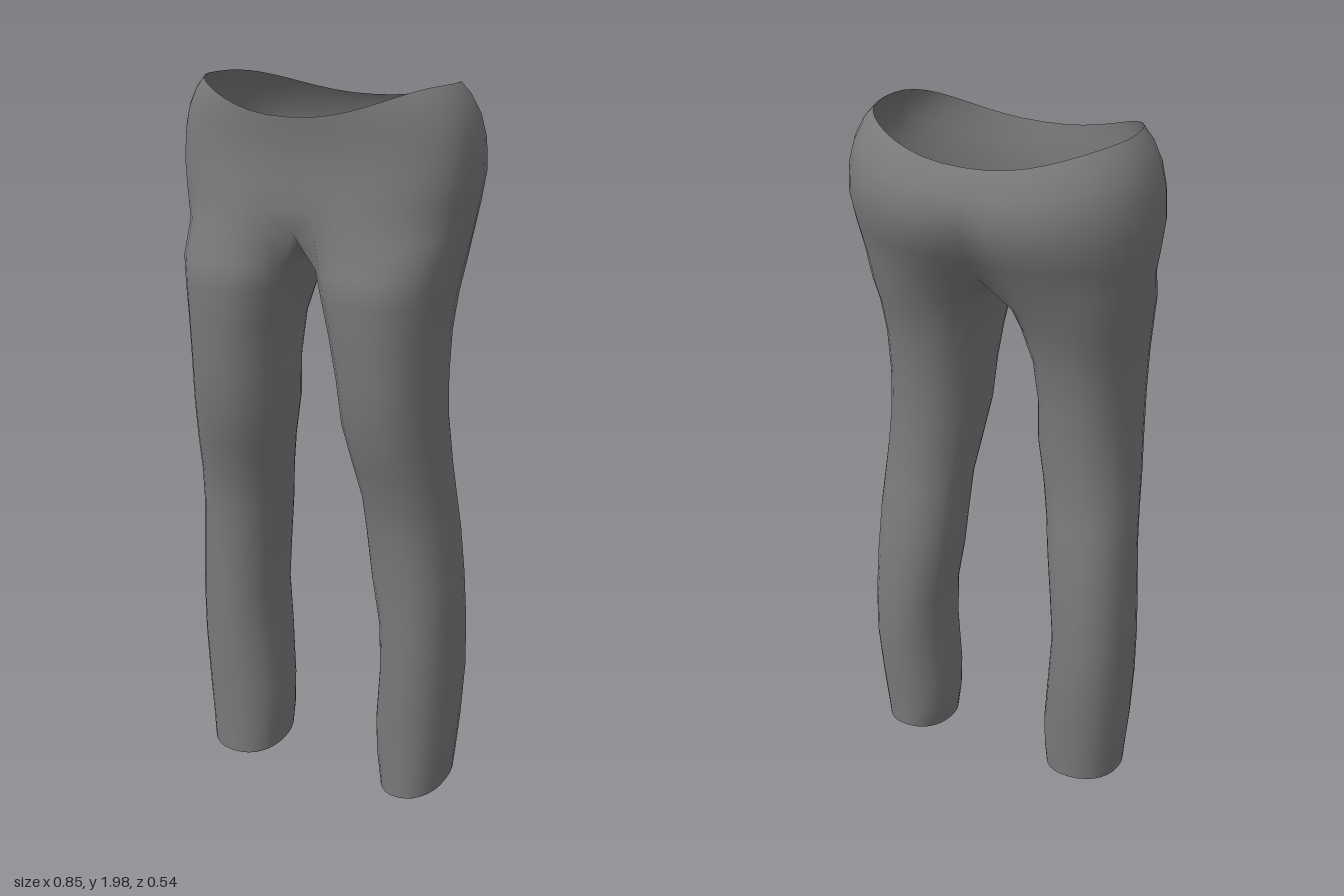
import * as THREE from 'three';
import { mergeVertices } from 'three/addons/utils/BufferGeometryUtils.js';

const OUT = 22; // steps round the outer side, front centre to back centre
const INN = 10; // steps round the inner thigh
const N = OUT + INN;
const JOIN = 1.62; // height where the legs meet the hips

// Leg sections: y, inner x (left leg), inner x (right leg), outer x, front z, back z
const LEG = [
  [0.04, 0.19, 0.16, 0.378, 0.142, -0.11],
  [0.12, 0.175, 0.152, 0.386, 0.142, -0.113],
  [0.22, 0.17, 0.152, 0.396, 0.143, -0.12],
  [0.38, 0.182, 0.166, 0.404, 0.15, -0.134],
  [0.52, 0.18, 0.174, 0.404, 0.152, -0.13],
  [0.66, 0.155, 0.162, 0.399, 0.153, -0.122],
  [0.8, 0.142, 0.146, 0.39, 0.162, -0.11],
  [0.9, 0.136, 0.132, 0.384, 0.178, -0.09],
  [1.0, 0.12, 0.115, 0.377, 0.21, -0.08],
  [1.12, 0.1, 0.092, 0.368, 0.245, -0.079],
  [1.24, 0.088, 0.09, 0.366, 0.258, -0.083],
  [1.36, 0.066, 0.076, 0.37, 0.268, -0.098],
  [1.46, 0.04, 0.045, 0.38, 0.275, -0.122],
  [1.53, 0.018, 0.02, 0.39, 0.274, -0.15],
];

// Hip sections: side y, outer x, front z, back z, front centre dent, back centre dent
const HIP = [
  [JOIN, 0.402, 0.265, -0.205, 0.045, 0.06],
  [1.7, 0.416, 0.25, -0.238, 0.018, 0.04],
  [1.78, 0.427, 0.235, -0.266, 0.004, 0.022],
  [1.86, 0.422, 0.229, -0.272, 0, 0.01],
  [1.92, 0.407, 0.232, -0.256, 0, 0.005],
  [1.97, 0.38, 0.237, -0.235, 0, 0],
  [2.0, 0.352, 0.24, -0.217, 0, 0],
];

const spow = (v, p) => Math.sign(v) * Math.abs(v) ** p;

// Rounded closed leg ring, running front, outside, back, inside
function legRing([y, innerL, innerR, outer, zf, zb], side, hem) {
  const inner = side > 0 ? innerL : innerR;
  const cx = (inner + outer) / 2, rx = (outer - inner) / 2;
  const cz = (zf + zb) / 2, rz = (zf - zb) / 2;
  const ring = [];
  for (let j = 0; j < N; j++) {
    const deg = j <= OUT ? -50 + 280 * j / OUT : 230 + 80 * (j - OUT) / INN;
    const a = THREE.MathUtils.degToRad(deg);
    const x = cx + rx * spow(Math.sin(a), 0.9), z = cz + rz * spow(Math.cos(a), 0.9);
    const drop = hem ? 0.17 * (z - cz) - 0.04 * (x - cx) : 0;
    ring.push([side * x, y - drop, z]);
  }
  return ring;
}

// Half ring of the hips; the waistline dips at front and back
function hipRing([y, X, zf, zb, dentF, dentB], side) {
  const ring = [];
  for (let j = 0; j <= OUT; j++) {
    const a = Math.PI * j / OUT, c = Math.cos(a);
    const x = X * Math.abs(Math.sin(a)) ** 0.88;
    const mid = Math.exp(-((x / 0.11) ** 2));
    const z = c > 0
      ? 0.02 + (zf - 0.02) * c ** 0.8 - dentF * mid
      : 0.02 - (0.02 - zb) * (-c) ** 0.9 + dentB * mid;
    const dip = (c > 0 ? 0.21 : 0.17) * Math.abs(c) ** 3;
    ring.push([side * x, y - (y - JOIN) * dip, z]);
  }
  return ring;
}

// Crotch seam closing the inside of the first hip ring
function addSeam(ring) {
  const front = ring[0], back = ring[OUT];
  for (let j = 1; j < INN; j++) {
    const s = j / INN;
    ring.push([0, JOIN - 0.062 * Math.sin(Math.PI * s) ** 0.8,
      THREE.MathUtils.lerp(back[2], front[2], s)]);
  }
  return ring;
}

function trouserGeometry() {
  const pos = [], index = [];
  for (const side of [1, -1]) {
    const rows = [
      ...LEG.map((r, i) => legRing(r, side, i === 0)),
      ...HIP.map((r, i) => (i === 0 ? addSeam(hipRing(r, side)) : hipRing(r, side))),
    ];
    const start = [];
    for (const row of rows) {
      start.push(pos.length / 3);
      row.forEach((p) => pos.push(...p));
    }
    for (let i = 0; i < rows.length - 1; i++) {
      const steps = i < LEG.length ? N : OUT;
      for (let j = 0; j < steps; j++) {
        const k = steps === N ? (j + 1) % N : j + 1;
        const a = start[i] + j, b = start[i] + k;
        const c = start[i + 1] + k, d = start[i + 1] + j;
        if (side > 0) index.push(a, b, c, a, c, d);
        else index.push(a, c, b, a, d, c);
      }
    }
  }
  const g = new THREE.BufferGeometry();
  g.setAttribute('position', new THREE.Float32BufferAttribute(pos, 3));
  g.setIndex(index);
  // Weld the halves along the centre so the shading is continuous
  const welded = mergeVertices(g, 1e-4);
  welded.computeVertexNormals();
  return welded;
}

export function createModel() {
  const group = new THREE.Group();
  group.name = 'trousers';
  const cloth = new THREE.MeshStandardMaterial({ color: 0x7a7a7a, side: THREE.DoubleSide });
  cloth.name = 'grey cloth';
  const mesh = new THREE.Mesh(trouserGeometry(), cloth);
  mesh.name = 'trouserCloth';
  group.add(mesh);
  return group;
}
